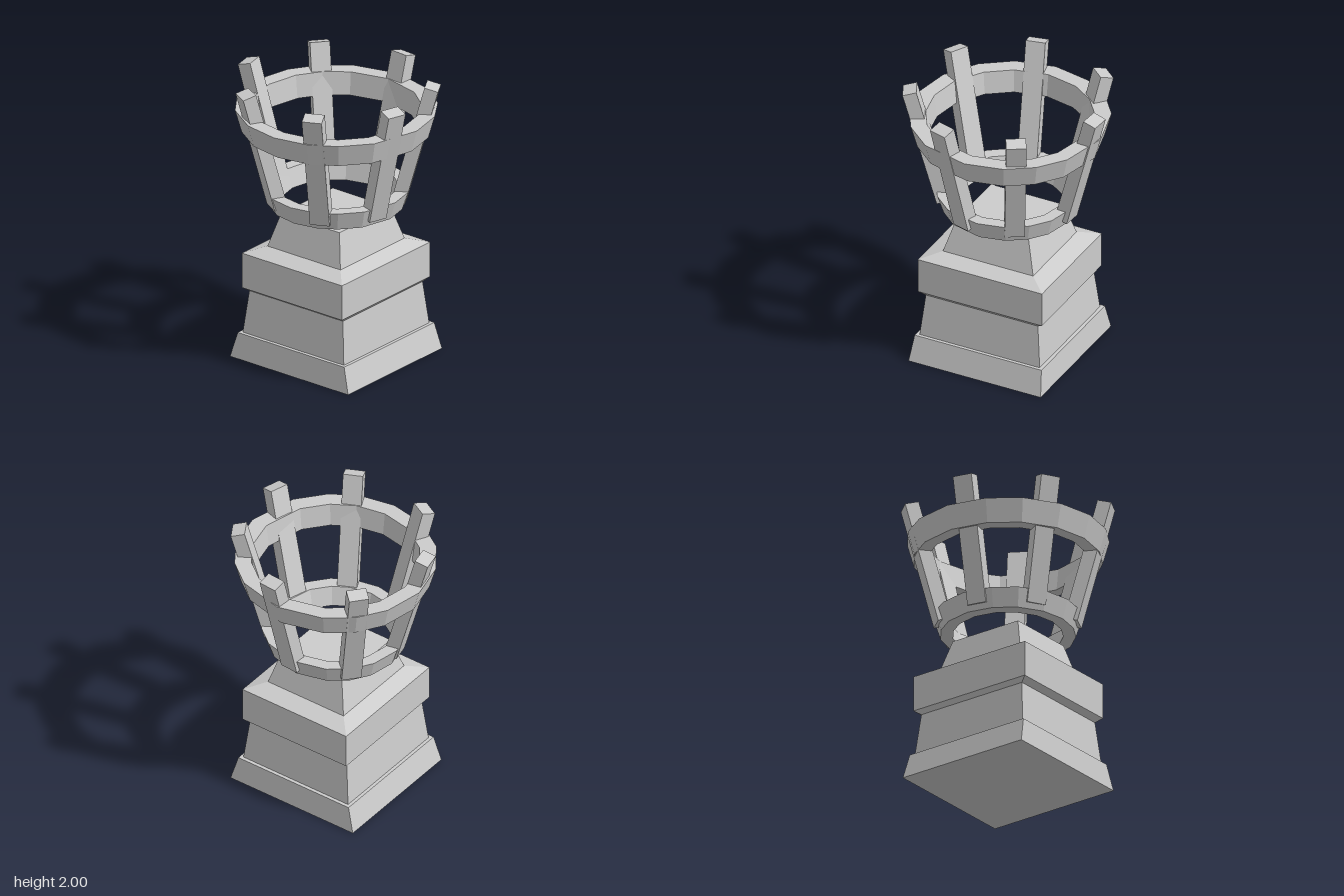
import * as THREE from 'three';

const stone = new THREE.MeshStandardMaterial({ color: 0xcccccc, flatShading: true });
stone.name = 'pale grey';

// Sweeps a profile of [x radius, z radius, y] around a list of [x, z] directions
function sweep(profile, directions) {
  const pos = [];
  const point = (i, j) => {
    const [rx, rz, y] = profile[i];
    const [dx, dz] = directions[j % directions.length];
    return [rx * dx, y, rz * dz];
  };
  for (let i = 0; i < profile.length - 1; i++) {
    for (let j = 0; j < directions.length; j++) {
      const a = point(i, j), b = point(i, j + 1), c = point(i + 1, j + 1), d = point(i + 1, j);
      if (profile[i][0] > 0) pos.push(...a, ...b, ...c);
      if (profile[i + 1][0] > 0) pos.push(...a, ...c, ...d);
      if (profile[i][0] === 0) continue;
    }
  }
  const geo = new THREE.BufferGeometry();
  geo.setAttribute('position', new THREE.Float32BufferAttribute(pos, 3));
  geo.computeVertexNormals();
  return geo;
}

function add(parent, name, geo) {
  const mesh = new THREE.Mesh(geo, stone);
  mesh.name = name;
  parent.add(mesh);
  return mesh;
}

export function createModel() {
  const model = new THREE.Group();
  model.name = 'brazier';

  // Square stepped pedestal, turned very slightly
  const corners = [[-1, 1], [1, 1], [1, -1], [-1, -1]];
  const pedestal = add(model, 'pedestal', sweep([
    [0, 0, 0],
    [0.495, 0.505, 0], [0.475, 0.455, 0.18],
    [0.45, 0.432, 0.18], [0.42, 0.4, 0.48],
    [0.465, 0.428, 0.51], [0.465, 0.428, 0.76],
    [0.338, 0.312, 0.8], [0.272, 0.25, 1.03],
    [0, 0, 1.03],
  ], corners));
  pedestal.rotation.y = -0.018;
  pedestal.position.x = -0.012;

  // Two hand-forged, slightly uneven hoops
  const around = [0, 23, 42, 61, 90, 118, 137, 156, 180, 204, 225, 248, 270, 291, 309, 330]
    .map((d) => THREE.MathUtils.degToRad(d))
    .map((t) => [Math.sin(t), Math.cos(t)]);
  const hoop = (name, y0, y1, out0, out1, in0, in1) => {
    const profile = [[out0, y0], [out1, y1], [in1, y1], [in0, y0], [out0, y0]]
      .map(([r, y]) => [r * 0.99, r, y]);
    add(model, name, sweep(profile, around)).position.x = -0.01;
  };
  hoop('lowerHoop', 1.09, 1.22, 0.455, 0.498, 0.37, 0.41);
  hoop('upperHoop', 1.63, 1.79, 0.635, 0.68, 0.545, 0.567);

  // Leaning bars: top centre [x, z, y]
  const lean = 0.27;
  const tops = [
    [-0.13, -0.645, 1.985], [0.435, -0.495, 1.97], [-0.575, -0.32, 1.98],
    [0.645, 0.055, 1.963], [-0.615, 0.28, 1.983], [-0.2, 0.63, 1.975], [0.315, 0.56, 1.97],
  ];
  const bottomY = 1.14;
  tops.forEach(([x, z, y], i) => {
    const bar = new THREE.Group();
    bar.name = `bar${i + 1}`;
    bar.rotation.y = Math.atan2(-z, x);
    const rise = y - bottomY;
    const mesh = add(bar, 'barShaft',
      new THREE.BoxGeometry(0.095, rise * Math.hypot(1, lean), 0.135));
    mesh.position.set(Math.hypot(x, z) - lean * rise / 2, (y + bottomY) / 2, 0);
    mesh.rotation.z = -Math.atan(lean);
    model.add(bar);
  });

  return model;
}
